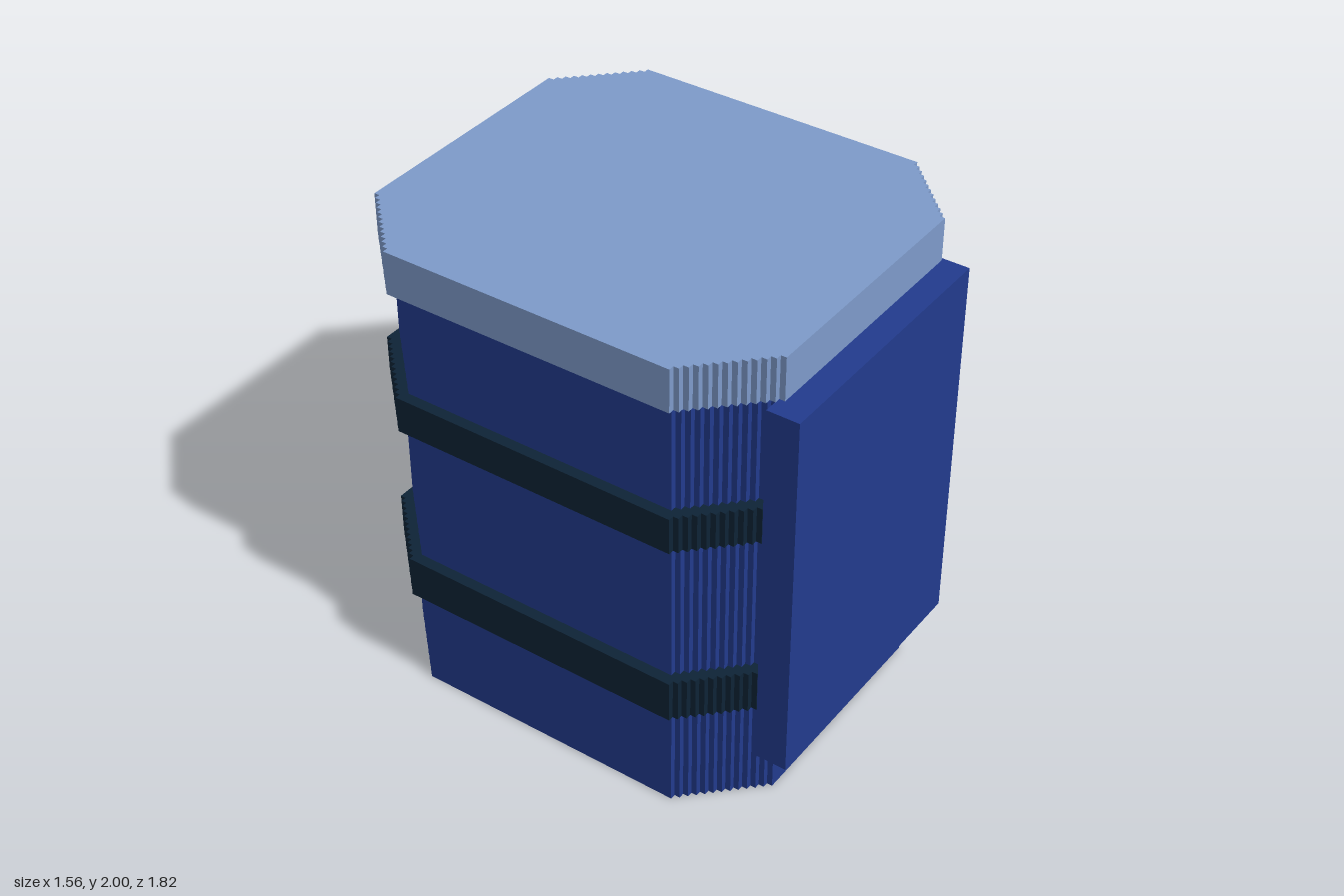
import * as THREE from 'three';

const STEPS = 12;   // stair steps in each chamfered corner
const CUT = 0.27;   // chamfer size

// Outline of a box whose four corners are cut away in tiny steps
function steppedOutline(halfX, zBack, zFront) {
  const mid = (zBack + zFront) / 2, halfZ = (zFront - zBack) / 2, d = CUT / STEPS;
  // one corner, running from the side face to the front or back face
  const corner = [[halfX, halfZ - CUT]];
  for (let i = 0; i < STEPS; i++) {
    corner.push([halfX - (i + 1) * d, halfZ - CUT + i * d]);
    corner.push([halfX - (i + 1) * d, halfZ - CUT + (i + 1) * d]);
  }
  const pts = [];
  for (const [sx, sy] of [[1, 1], [-1, 1], [-1, -1], [1, -1]]) {
    const c = corner.map(([x, y]) => new THREE.Vector2(sx * x, sy * y - mid));
    pts.push(...(sx * sy > 0 ? c : c.reverse()));
  }
  return new THREE.Shape(pts);
}

// Upright slab between two heights
function slab(name, material, halfX, zBack, zFront, y0, y1) {
  const geo = new THREE.ExtrudeGeometry(steppedOutline(halfX, zBack, zFront), {
    depth: y1 - y0, bevelEnabled: false,
  });
  geo.rotateX(-Math.PI / 2).translate(0, y0, 0);
  const mesh = new THREE.Mesh(geo, material);
  mesh.name = name;
  return mesh;
}

export function createModel() {
  const blue = new THREE.MeshStandardMaterial({ name: 'deepBlue', color: 0x233c8f });
  const pale = new THREE.MeshStandardMaterial({ name: 'paleBlue', color: 0x7f9ccc });
  const dark = new THREE.MeshStandardMaterial({ name: 'darkNavy', color: 0x0e2437 });

  const model = new THREE.Group();
  model.name = 'barrelContainer';

  // Body, lid and the two bands around the body
  model.add(
    slab('body', blue, 0.733, -0.888, 0.8, 0, 1.83),
    slab('lid', pale, 0.778, -0.91, 0.822, 1.825, 2),
    slab('lowerBand', dark, 0.778, -0.91, 0.822, 0.45, 0.625),
    slab('upperBand', dark, 0.778, -0.91, 0.822, 1.23, 1.38),
  );

  // Front panel covering the bands
  const panel = new THREE.Mesh(new THREE.BoxGeometry(1.11, 1.575, 0.13), blue);
  panel.name = 'frontPanel';
  panel.position.set(0, 1.0125, 0.845);
  model.add(panel);

  return model;
}
